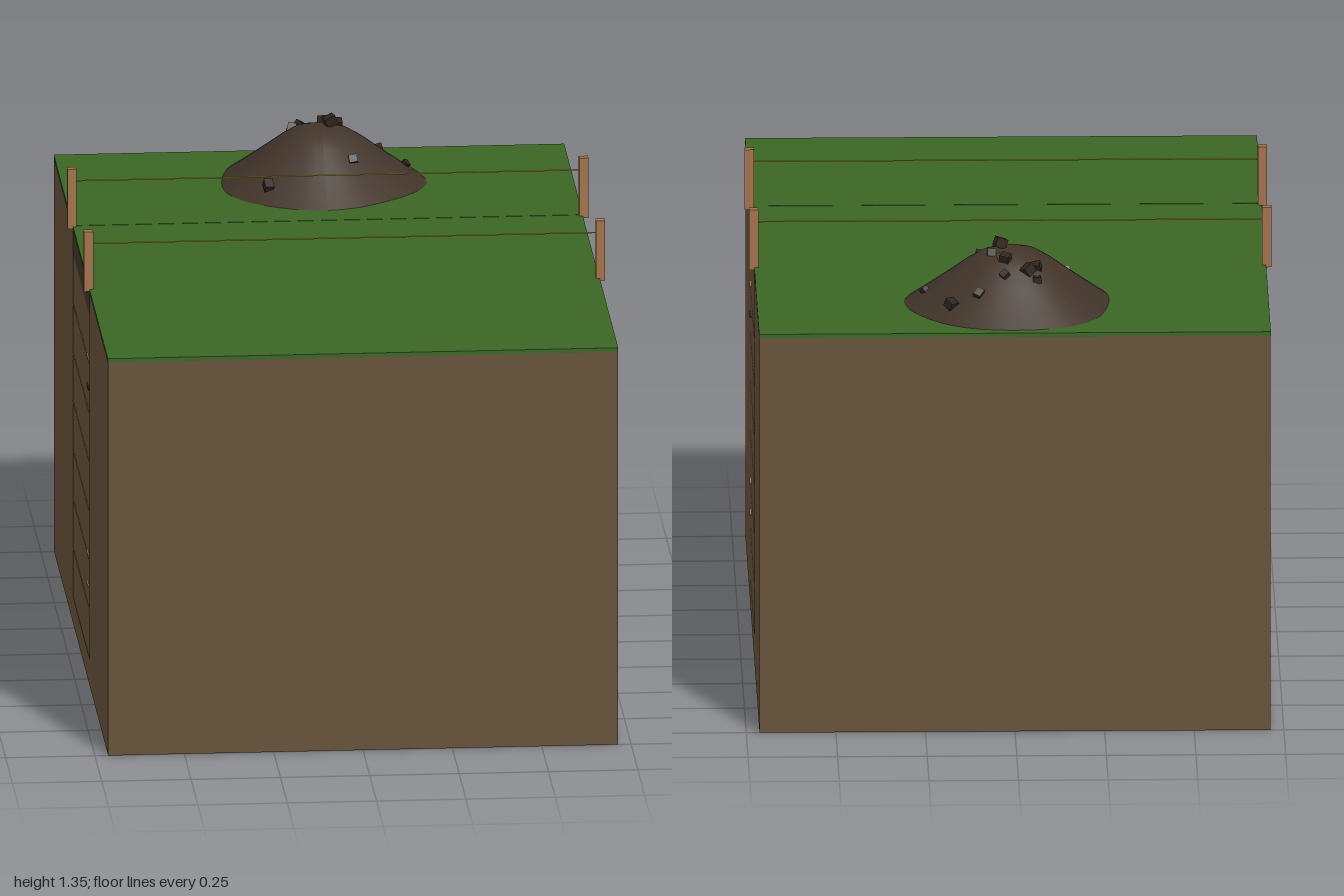
import * as THREE from 'three';

const material = (name, color) => {
  const m = new THREE.MeshStandardMaterial({ color });
  m.name = name;
  return m;
};

export function createModel() {
  const soil = material('soil', 0x665239);
  const darkSoil = material('dark soil', 0x41342a);
  const clodSoil = material('clod soil', 0x2e241c);
  const grass = material('grass', 0x3b6525);
  const wood = material('wood', 0xa3734a);
  const twine = material('twine', 0xb8a63c);

  const model = new THREE.Group();
  model.name = 'trenchBlock';
  const W = 1.426, zBack = -0.305, zFront = 0.31, groundY = 1.155;

  // Box given by its height range and depth range
  const slab = (name, mat, w, y0, y1, z0, z1, x = 0) => {
    const mesh = new THREE.Mesh(new THREE.BoxGeometry(w, y1 - y0, z1 - z0), mat);
    mesh.position.set(x, (y0 + y1) / 2, (z0 + z1) / 2);
    mesh.name = name;
    model.add(mesh);
    return mesh;
  };

  // Ground on both sides of the trench, on a common base
  slab('base', soil, W, 0, 0.075, -1, 1);
  slab('backGround', soil, W, 0.075, 1.143, -1, zBack);
  slab('frontGround', soil, W, 0.075, 1.143, zFront, 1);

  // Turf strips
  slab('backTurf', grass, W + 0.002, 1.143, groundY, -1, zBack);
  slab('middleTurf', grass, W, 1.143, groundY - 0.001, zBack, zFront);
  slab('frontTurf', grass, W + 0.002, 1.143, groundY, zFront, 1);

  // Trench fill in seven layers with thin wooden seams
  const layers = 7, bottom = 0.075, step = (1.072 - bottom) / layers;
  for (let i = 0; i < layers; i++) {
    const y = bottom + i * step;
    slab('fillLayer', soil, W - 0.002, y, y + step, zBack, zFront);
    if (i > 0) slab('layerSeam', wood, W + 0.001, y - 0.0025, y + 0.0025, zBack, zFront);
  }
  slab('trenchTopsoil', darkSoil, W - 0.002, 1.072, 1.143, zBack, zFront);

  // Short depth marks at both trench ends
  for (const side of [-1, 1]) {
    [0.28, 0.37, 0.855, 0.942].forEach((y, i) =>
      slab('depthMark', i === 2 ? clodSoil : wood, 0.006, y - 0.002, y + 0.002,
        0.23, 0.292, side * W / 2));
  }

  // Corner stakes and the strings between them
  for (const z of [-0.307, 0.307]) {
    for (const side of [-1, 1]) {
      slab('stake', wood, 0.026, 1.148, 1.322, z - 0.012, z + 0.012, side * 0.716);
    }
    const string = new THREE.Mesh(new THREE.CylinderGeometry(0.002, 0.002, W, 6), twine);
    string.rotation.z = Math.PI / 2;
    string.position.set(0, 1.285, z);
    string.name = 'string';
    model.add(string);
  }

  // Spoil heap: a lathed profile with a wavering outline
  const profile = [[0.286, 0], [0.235, 0.036], [0.175, 0.08], [0.12, 0.122],
    [0.08, 0.147], [0.04, 0.159], [0, 0.163]];
  const heapGeo = new THREE.LatheGeometry(profile.map(p => new THREE.Vector2(...p)), 40);
  const pos = heapGeo.attributes.position;
  for (let i = 0; i < pos.count; i++) {
    const x = pos.getX(i), z = pos.getZ(i), a = Math.atan2(z, x);
    const k = 1 + 0.025 * Math.cos(3 * a) + 0.018 * Math.sin(5 * a + 0.6);
    pos.setX(i, x * k);
    pos.setZ(i, z * k);
  }
  heapGeo.computeVertexNormals();
  const heap = new THREE.Mesh(heapGeo, darkSoil);
  heap.position.set(0.008, groundY, -0.69);
  heap.name = 'spoilHeap';
  model.add(heap);

  // Clods scattered over the heap: x, z
  const heightAt = r => {
    for (let i = 1; i < profile.length; i++) {
      const [r0, y0] = profile[i - 1], [r1, y1] = profile[i];
      if (r >= r1) return y0 + (y1 - y0) * (r0 - r) / (r0 - r1);
    }
    return 0.163;
  };
  const clods = [[-0.065, -0.82], [-0.065, -0.78], [-0.04, -0.80], [0.025, -0.82],
    [0.022, -0.77], [0.035, -0.76], [0.06, -0.725], [0.035, -0.69], [0.098, -0.855],
    [0.175, -0.85], [0.245, -0.70], [0.09, -0.56], [-0.15, -0.515]];
  clods.forEach(([x, z], i) => {
    const s = 0.02 + 0.008 * ((i * 7) % 5) / 4;
    const clod = new THREE.Mesh(new THREE.BoxGeometry(s * 1.15, s * 0.9, s), clodSoil);
    const lift = i === 7 ? 0.014 : 0.004;
    clod.position.set(x, groundY + heightAt(Math.hypot(x - 0.008, z + 0.69)) + lift, z);
    clod.rotation.set(i * 0.7, i * 1.3, i * 0.4);
    clod.name = 'clod';
    model.add(clod);
  });

  return model;
}
